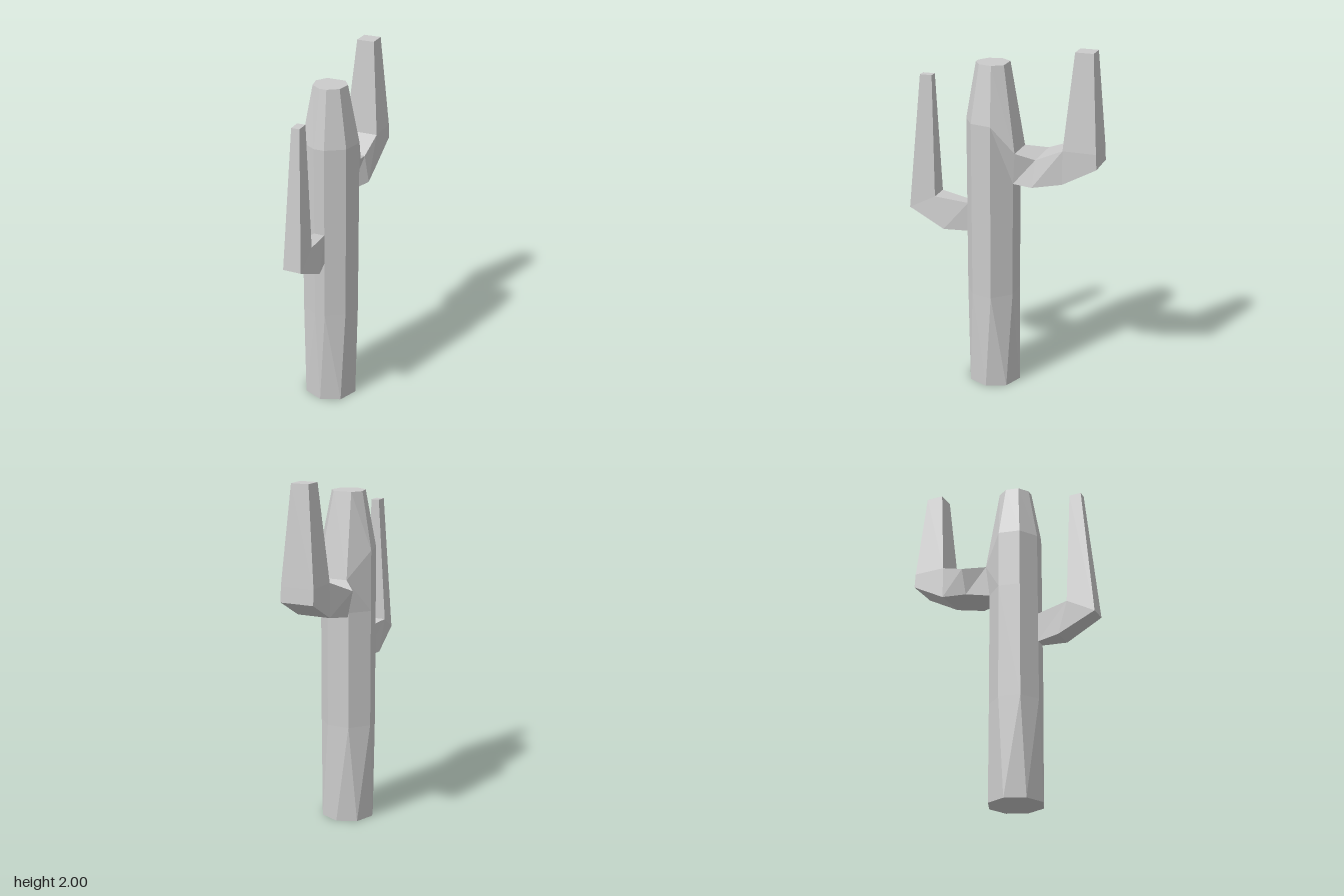
import * as THREE from 'three';

const material = new THREE.MeshStandardMaterial({ color: 0xcccccc, flatShading: true });

// Skins a list of equal-length rings of [x, y, z] and closes both ends.
function loft(name, rings) {
  const n = rings[0].length;
  const pos = [];
  const tri = (a, b, c) => pos.push(...a, ...b, ...c);
  for (let r = 0; r + 1 < rings.length; r++) {
    const lo = rings[r], up = rings[r + 1];
    for (let i = 0; i < n; i++) {
      const j = (i + 1) % n;
      tri(lo[i], lo[j], up[i]);
      tri(lo[j], up[j], up[i]);
    }
  }
  const first = rings[0], last = rings[rings.length - 1];
  for (let i = 1; i + 1 < n; i++) {
    tri(first[0], first[i + 1], first[i]);
    tri(last[0], last[i], last[i + 1]);
  }
  const geo = new THREE.BufferGeometry();
  geo.setAttribute('position', new THREE.Float32BufferAttribute(pos, 3));
  geo.computeVertexNormals();
  const mesh = new THREE.Mesh(geo, material);
  mesh.name = name;
  return mesh;
}

// Mirrors half a ring of [x, z] points, ordered front to back, into a full ring.
const mirrorRing = (half, y) => [
  ...half.map(([x, z]) => [x, y, z]),
  ...[...half].reverse().map(([x, z]) => [-x, y, z]),
];

// Each arm section has an inner and an outer edge: [y, z, xMin, xMax].
function arm(name, sections, facesFront) {
  return loft(name, sections.map(([[yi, zi, ai, bi], [yo, zo, ao, bo]]) => {
    const ring = [[ai, yi, zi], [bi, yi, zi], [bo, yo, zo], [ao, yo, zo]];
    return facesFront ? ring.reverse() : ring;
  }));
}

export function createModel() {
  const group = new THREE.Group();
  group.name = 'cactus';

  // Trunk: octagonal foot, twisted by half a side into the straight shaft
  const foot = [];
  for (let i = 0; i < 8; i++) {
    const a = i * Math.PI / 4;
    foot.push([0.157 * Math.sin(a), 0, 0.057 + 0.157 * Math.cos(a)]);
  }
  const shaft = [[0.03, 0.21], [0.13, 0.145], [0.155, 0.025], [0.065, -0.075]];
  const crown = [[0.02, 0.155], [0.078, 0.115], [0.093, 0.041], [0.053, -0.018]];
  const shoulder = mirrorRing(shaft, 1.58);
  // The two back corners of the shoulder are pulled down to the arm
  shoulder[3] = [0.11, 1.43, -0.1];
  shoulder[4] = [-0.065, 1.43, -0.1];
  group.add(loft('trunk', [
    foot,
    mirrorRing(shaft, 0.57),
    mirrorRing(shaft, 1.24),
    shoulder,
    mirrorRing(crown, 1.9),
  ]));

  // Large back arm
  const backCrotch = [1.47, -0.365, -0.095, 0.095];
  group.add(arm('backArm', [
    [[1.43, -0.1, -0.065, 0.11], [1.24, -0.075, -0.065, 0.065]],
    [[1.4, -0.21, -0.155, 0.088], [1.25, -0.2, -0.12, 0.118]],
    [backCrotch, [1.28, -0.365, -0.095, 0.095]],
    [backCrotch, [1.385, -0.555, -0.095, 0.095]],
    [backCrotch, [1.47, -0.55, -0.095, 0.095]],
    [[2, -0.41, -0.05, 0.05], [2, -0.51, -0.05, 0.05]],
  ], false));

  // Slim front arm
  const frontCrotch = [1.1, 0.402, -0.073, 0.045];
  group.add(arm('frontArm', [
    [[1.08, 0.205, -0.03, 0.03], [0.91, 0.205, -0.03, 0.03]],
    [frontCrotch, [0.915, 0.345, -0.065, 0.063]],
    [frontCrotch, [1.02, 0.555, -0.05, 0.053]],
    [[1.8, 0.415, -0.023, 0.023], [1.8, 0.485, -0.023, 0.023]],
  ], true));

  return group;
}
